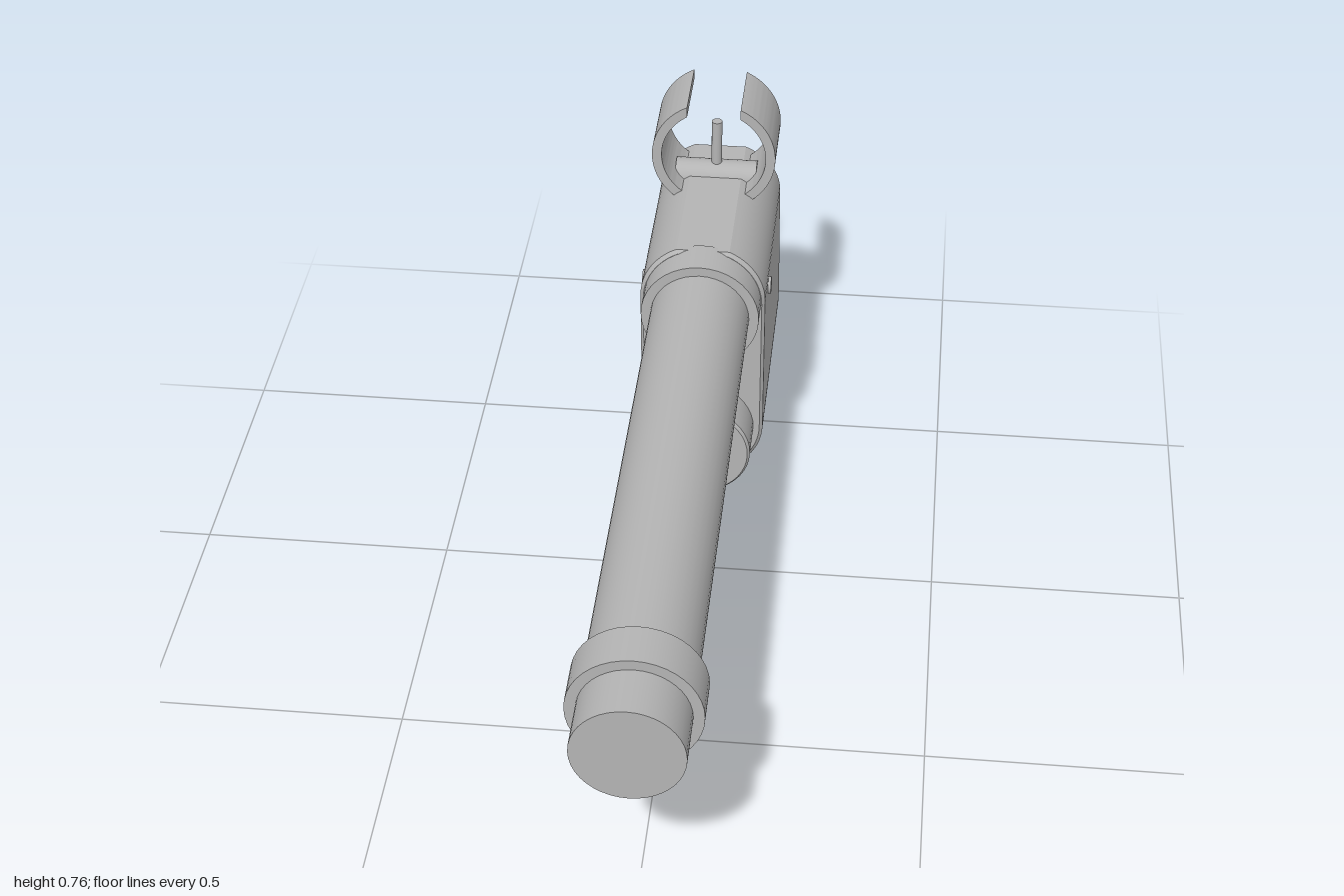
import * as THREE from 'three';
import { toCreasedNormals } from 'three/addons/utils/BufferGeometryUtils.js';

export function createModel() {
  const model = new THREE.Group();
  const metal = new THREE.MeshStandardMaterial({ color: 0xb4b4b4 });
  metal.name = 'grey metal';

  const add = (name, geometry, x = 0, y = 0, z = 0) => {
    const mesh = new THREE.Mesh(geometry, metal);
    mesh.name = name;
    mesh.position.set(x, y, z);
    model.add(mesh);
    return mesh;
  };

  // Solid cylinder along z between two depths
  const tube = (name, r, y, z0, z1) => add(name,
    new THREE.CylinderGeometry(r, r, Math.abs(z1 - z0), 40).rotateX(Math.PI / 2), 0, y, (z0 + z1) / 2);

  // Upper tube with its two collars
  tube('upperTube', 0.1, 0.45, 1, -0.32);
  tube('frontCollar', 0.12, 0.45, 0.9, 0.815);
  tube('rearCollar', 0.12, 0.45, -0.25, -0.33);

  // Lower plug and collar, with a slightly bevelled front edge
  const plug = [[0, 0], [0.104, 0], [0.109, 0.006], [0.109, 0.12], [0, 0.12]].map(p => new THREE.Vector2(...p));
  add('lowerPlug', toCreasedNormals(new THREE.LatheGeometry(plug.reverse(), 40).rotateX(Math.PI / 2).scale(1, 1, -1).rotateY(Math.PI), 0.5), 0, 0.13, -0.215)
    .geometry = toCreasedNormals(new THREE.LatheGeometry(
      [[0, -0.12], [0.109, -0.12], [0.109, -0.006], [0.104, 0], [0, 0]].map(p => new THREE.Vector2(...p)), 40)
      .rotateX(Math.PI / 2), 0.5);
  tube('lowerRearCollar', 0.106, 0.13, -0.72, -0.825);

  // Rear pipe with a bored end
  const pipe = [[0, 0.12], [0.036, 0.12], [0.036, 0], [0.084, 0], [0.084, 0.25], [0, 0.25]];
  add('rearPipe', toCreasedNormals(new THREE.LatheGeometry(pipe.map(p => new THREE.Vector2(...p)), 40)
    .rotateX(Math.PI / 2), 0.5), 0, 0.13, -1);

  // Housing: rounded outline lofted upward, rear face sloping forward near the top
  const R = 0.128, low = 0.128, high = 0.45, top = 0.566, bevel = 0.007;
  const outline = [];
  for (let i = 0; i <= 16; i++) {
    const a = -Math.PI / 2 + (i / 16) * Math.PI / 2;
    outline.push([R * Math.cos(a), low + R * Math.sin(a)]);
  }
  outline.push([R, 0.17]);
  const endAngle = Math.asin((top - high) / R);
  for (let i = 0; i <= 12; i++) {
    const a = endAngle * i / 12;
    outline.push([R * Math.cos(a), high + R * Math.sin(a)]);
  }
  outline.push([0, top]);
  const rear = y => (y < 0.17 ? -0.8 : -0.8 + (y - 0.17) / (top - 0.17) * 0.073);
  const front = -0.31, k = 0.95, mid = 0.285;
  const pos = [], index = [];
  outline.forEach(([w, y]) => {
    const wi = w * k, yi = mid + (y - mid) * (1 - bevel / mid);
    pos.push(
      wi, yi, front, w, y, front - bevel, w, y, rear(y) + bevel, wi, yi, rear(y),
      -wi, yi, rear(y), -w, y, rear(y) + bevel, -w, y, front - bevel, -wi, yi, front);
  });
  for (let i = 0; i < outline.length - 1; i++) {
    for (let j = 0; j < 8; j++) {
      const a = i * 8 + j, b = i * 8 + (j + 1) % 8;
      index.push(a, b, b + 8, a, b + 8, a + 8);
    }
  }
  const housing = new THREE.BufferGeometry();
  housing.setAttribute('position', new THREE.Float32BufferAttribute(pos, 3));
  housing.setIndex(index);
  add('housing', toCreasedNormals(housing, 0.45));

  // Curved sight guards, open at the top
  const outer = 0.128, inner = 0.108, gap = 0.055;
  const ao = Math.acos(gap / outer), ai = Math.acos(gap / inner);
  const guard = new THREE.Shape();
  guard.absarc(0, 0, outer, -ao, ao, false);
  guard.absarc(0, 0, inner, ai, -ai, true);
  const guardGeometry = toCreasedNormals(new THREE.ExtrudeGeometry(guard,
    { depth: 0.155, bevelEnabled: false, curveSegments: 28 }), 0.5);
  add('leftSightGuard', guardGeometry, 0, 0.645, -0.7);
  add('rightSightGuard', guardGeometry, 0, 0.645, -0.545).rotation.y = Math.PI;

  // Sight post on its cross bar
  add('sightCrossBar', new THREE.CylinderGeometry(0.035, 0.035, 0.17, 24).rotateZ(Math.PI / 2), 0, 0.552, -0.624);
  add('sightPost', new THREE.CylinderGeometry(0.011, 0.011, 0.125, 16), 0, 0.622, -0.624);

  // Cross pin showing on both sides
  add('crossPin', new THREE.CylinderGeometry(0.018, 0.018, 0.268, 16).rotateZ(Math.PI / 2), 0, 0.426, -0.412);

  return model;
}
